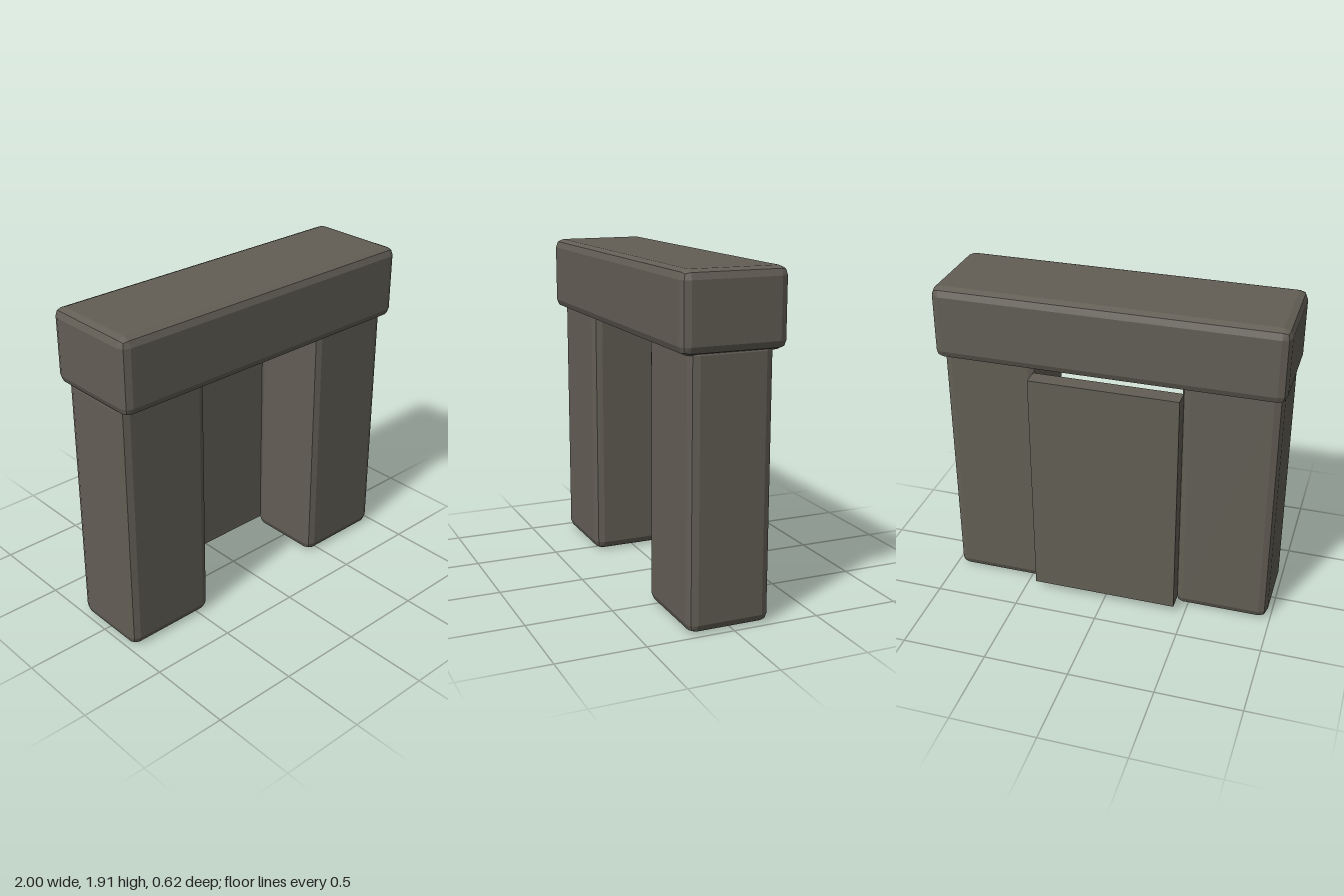
import * as THREE from 'three';
import { ConvexGeometry } from 'three/addons/geometries/ConvexGeometry.js';

// Block with two-step bevelled edges, given by its minimum and maximum corners
function bevelledBlock(min, max, r) {
  const size = max.clone().sub(min);
  const inner = size.clone().multiplyScalar(0.5).subScalar(r);
  const points = [];
  for (const sx of [-1, 1]) for (const sy of [-1, 1]) for (const sz of [-1, 1]) {
    // Directions around one rounded corner: faces, edge middles and tip
    for (let m = 1; m < 8; m++) {
      const dir = new THREE.Vector3(m & 1, (m >> 1) & 1, (m >> 2) & 1).normalize().multiplyScalar(r);
      points.push(new THREE.Vector3(
        sx * (inner.x + dir.x), sy * (inner.y + dir.y), sz * (inner.z + dir.z)));
    }
  }
  const geometry = new ConvexGeometry(points);
  const centre = min.clone().add(max).multiplyScalar(0.5);
  geometry.translate(centre.x, centre.y, centre.z);
  return geometry;
}

export function createModel() {
  const group = new THREE.Group();
  group.name = 'stoneDoorway';
  const stone = new THREE.MeshStandardMaterial({ color: 0x625e55 });
  stone.name = 'dark stone';

  const add = (name, geometry) => {
    const mesh = new THREE.Mesh(geometry, stone);
    mesh.name = name;
    group.add(mesh);
    return mesh;
  };
  const v = (x, y, z) => new THREE.Vector3(x, y, z);

  // Upright pillars
  add('leftPillar', bevelledBlock(v(0.415, 0, -0.225), v(0.975, 1.535, 0.25), 0.05));
  add('rightPillar', bevelledBlock(v(-0.98, 0, -0.225), v(-0.42, 1.535, 0.25), 0.05));

  // Lintel across the top
  add('lintel', bevelledBlock(v(-1, 1.485, -0.29), v(1, 1.915, 0.31), 0.05));

  // Slab closing the back of the opening
  add('backSlab', new THREE.BoxGeometry(0.87, 1.395, 0.1)).position.set(0, 0.743, -0.265);

  return group;
}
